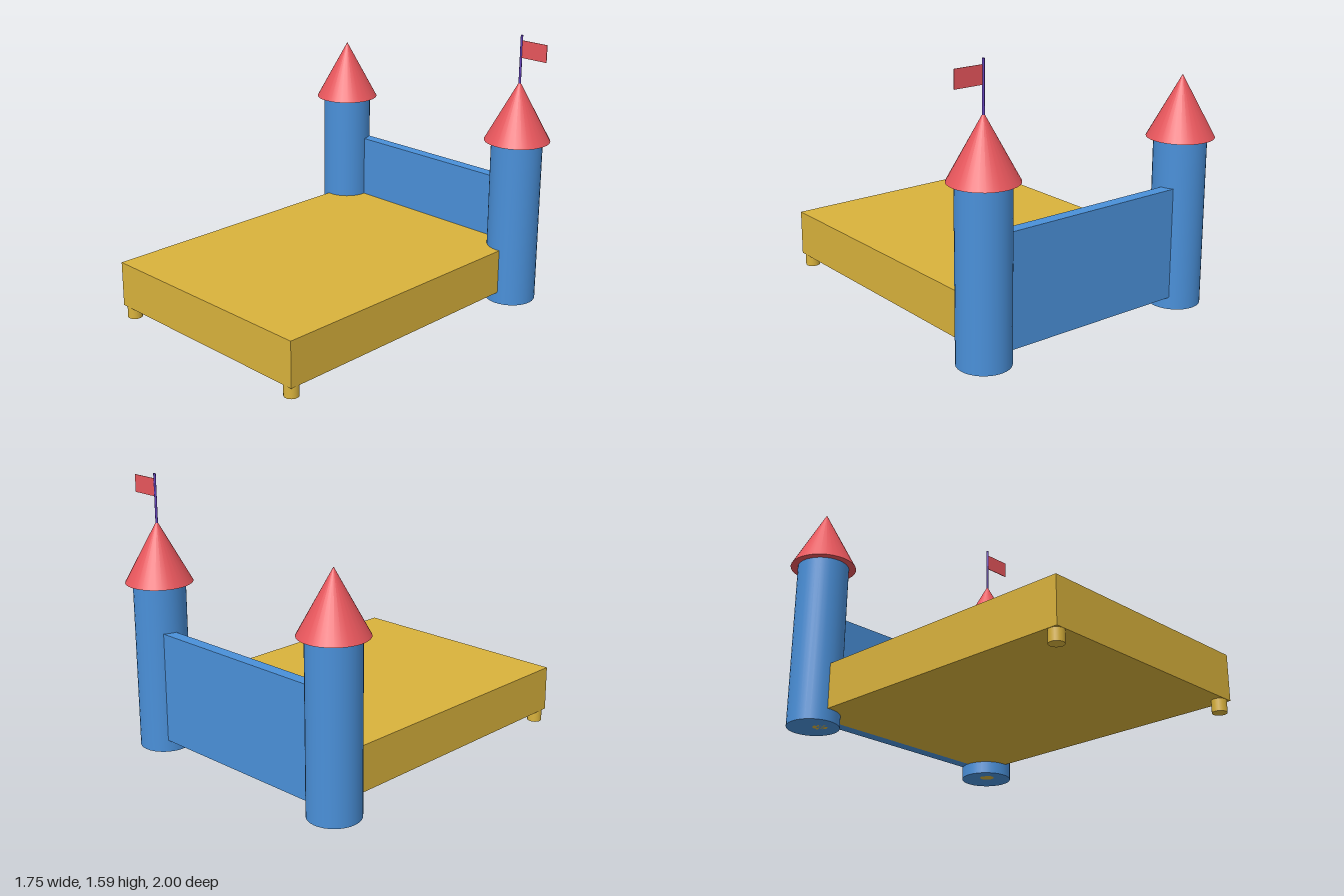
import * as THREE from 'three';

const material = (color) => new THREE.MeshStandardMaterial({ color });

export function createModel() {
  const model = new THREE.Group();
  const blue = material(0x4a90d9);
  const red = material(0xe8565c);
  const gold = material(0xd9b23c);
  const purple = material(0x6240b8);

  const add = (name, geometry, mat, x, y, z) => {
    const mesh = new THREE.Mesh(geometry, mat);
    mesh.name = name;
    mesh.position.set(x, y, z);
    model.add(mesh);
    return mesh;
  };

  // Mattress base and headboard
  add('mattress', new THREE.BoxGeometry(1.41, 0.265, 1.82), gold, 0, 0.2025, 0.09);
  add('headboard', new THREE.BoxGeometry(1.37, 0.64, 0.07), blue, 0, 0.39, -0.855);

  // Legs, towers and roofs, mirrored left and right
  const legGeometry = new THREE.CylinderGeometry(0.042, 0.042, 0.07, 24);
  const towerGeometry = new THREE.CylinderGeometry(0.148, 0.148, 0.975, 32);
  const roofGeometry = new THREE.ConeGeometry(0.19, 0.35, 32);
  for (const [side, s] of [['left', 1], ['right', -1]]) {
    add(`${side}FrontLeg`, legGeometry, gold, s * 0.66, 0.035, 0.957);
    add(`${side}BackLeg`, legGeometry, gold, s * 0.66, 0.035, -0.777);
    add(`${side}Tower`, towerGeometry, blue, s * 0.685, 0.4875, -0.808);
    add(`${side}Roof`, roofGeometry, red, s * 0.685, 1.15, -0.808);
  }

  // Flag on the left tower
  add('flagPole', new THREE.CylinderGeometry(0.007, 0.007, 0.28, 12), purple, 0.685, 1.45, -0.808);
  add('flag', new THREE.BoxGeometry(0.17, 0.1, 0.004), red, 0.775, 1.51, -0.808);

  return model;
}
